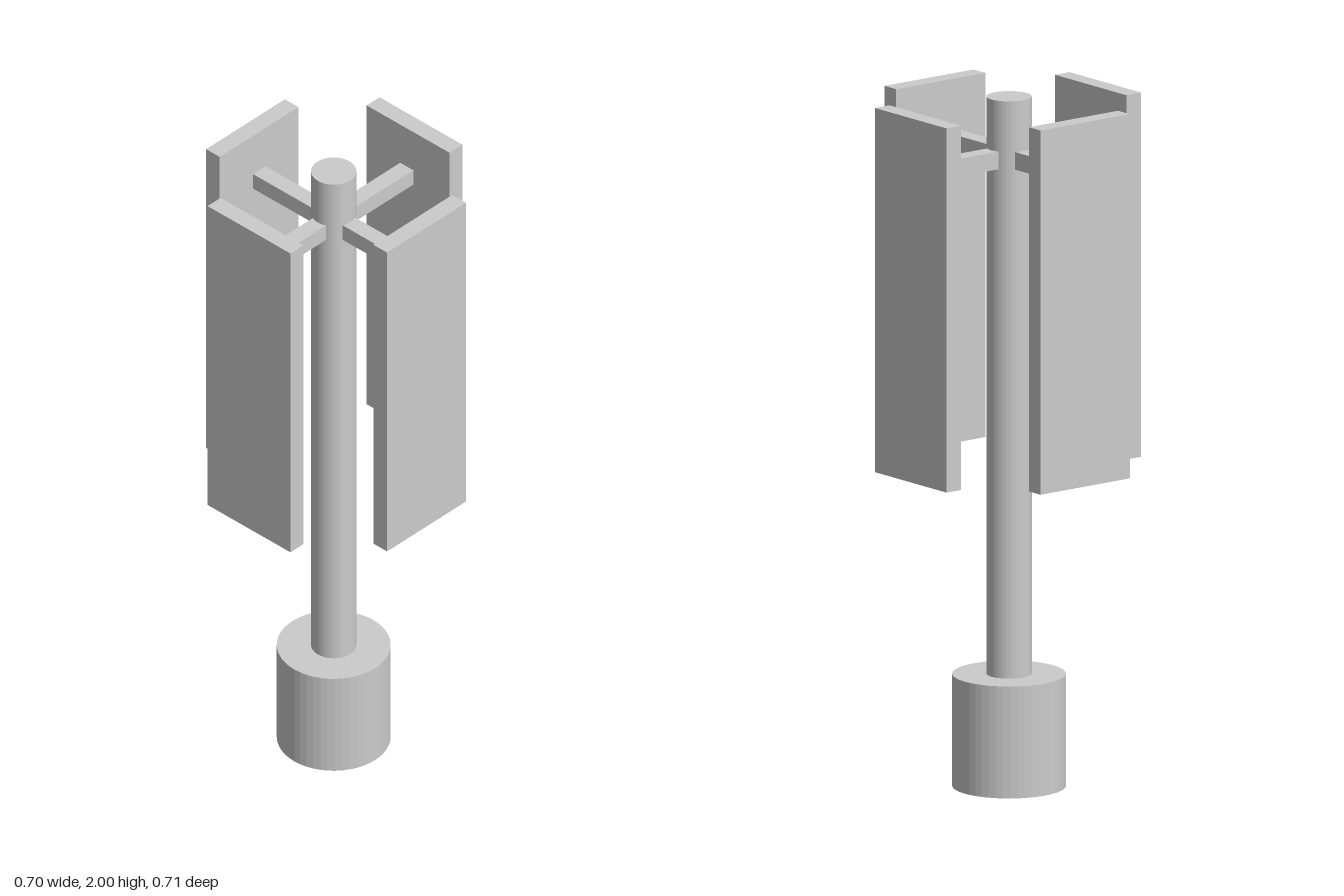
import * as THREE from 'three';

export function createModel() {
  const model = new THREE.Group();
  model.name = 'panelMast';
  const material = new THREE.MeshStandardMaterial({ color: 0xcccccc, flatShading: true });
  const axisZ = -0.01; // the mast stands slightly behind the centre

  const add = (name, geometry, x, y, z, turn = 0) => {
    const mesh = new THREE.Mesh(geometry, material);
    mesh.name = name;
    mesh.position.set(x, y, z);
    mesh.rotation.y = turn;
    model.add(mesh);
  };

  // Round base and mast
  const baseHeight = 0.325;
  add('base', new THREE.CylinderGeometry(0.161, 0.161, baseHeight, 48), 0, baseHeight / 2, axisZ);
  add('mast', new THREE.CylinderGeometry(0.064, 0.064, 2 - baseHeight, 48), 0, (2 + baseHeight) / 2, axisZ);

  // Four upright panels, each held by an arm starting inside the mast
  const panel = new THREE.BoxGeometry(0.323, 1.057, 0.053);
  const panelY = 1.459, armY = 1.827, reach = 0.326, armEnd = 0.3, armStart = 0.04;
  const sides = [
    { name: 'front', x: 0, z: 1 },
    { name: 'left', x: 1, z: 0 },
    { name: 'back', x: 0, z: -1 },
    { name: 'right', x: -1, z: 0 },
  ];
  for (const { name, x, z } of sides) {
    const turn = x ? Math.PI / 2 : 0;
    add(`${name}Panel`, panel, x * reach, panelY, x ? -0.005 : z * reach - 0.001, turn);

    const start = x ? x * armStart : axisZ + z * armStart;
    const end = (x || z) * armEnd;
    const arm = new THREE.BoxGeometry(0.051, 0.051, Math.abs(end - start));
    const middle = (start + end) / 2;
    add(`${name}Arm`, arm, x ? middle : 0, armY, x ? axisZ : middle, turn);
  }
  return model;
}
